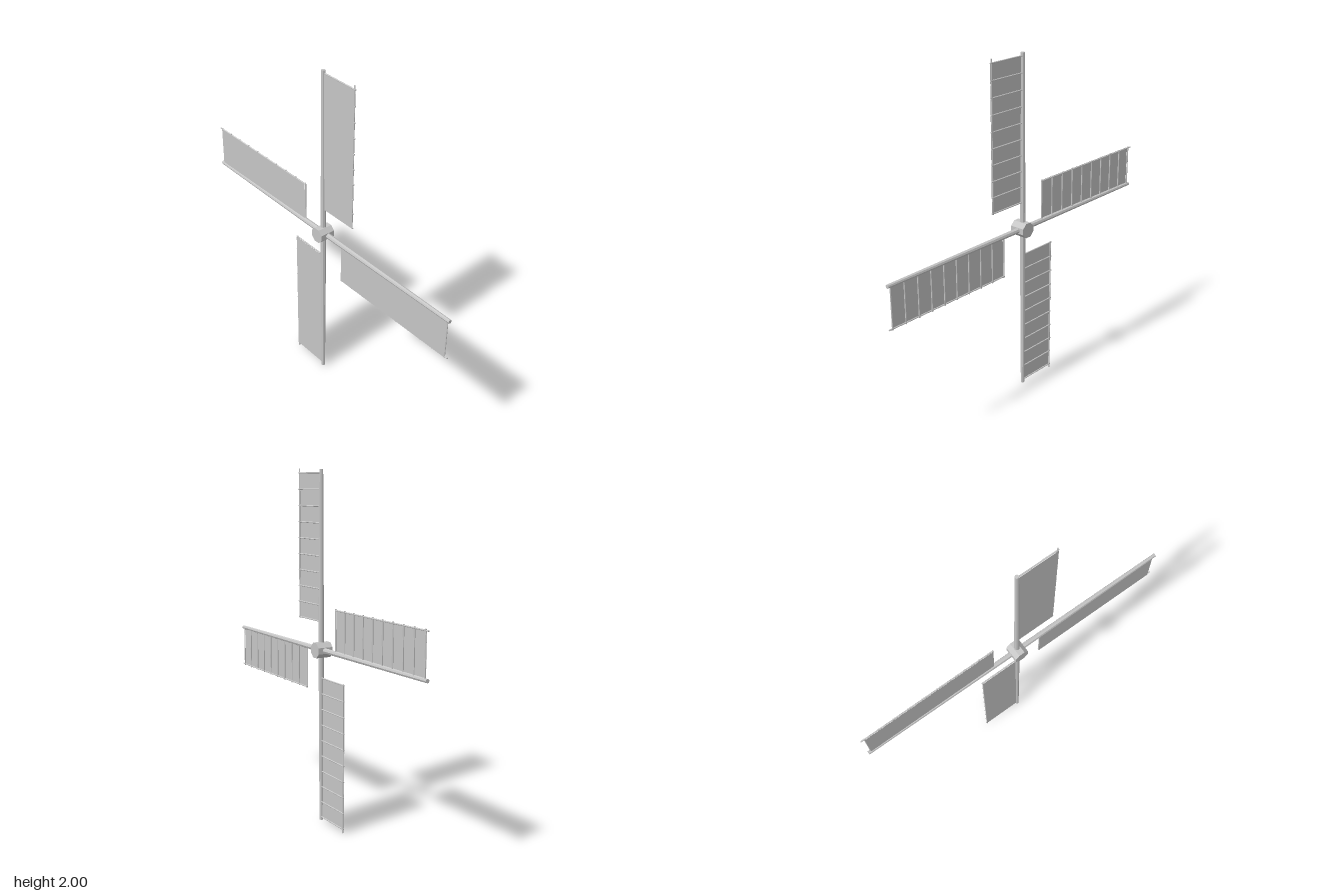
import * as THREE from 'three';

const grey = new THREE.MeshStandardMaterial({ color: 0xc6c6c6, flatShading: true });
grey.name = 'light grey';
const sailGrey = new THREE.MeshStandardMaterial({ color: 0xc6c6c6, side: THREE.DoubleSide });
sailGrey.name = 'sail grey';

function part(name, geometry, x, y, z, material = grey) {
  const mesh = new THREE.Mesh(geometry, material);
  mesh.name = name;
  mesh.position.set(x, y, z);
  return mesh;
}

// One blade pointing up, with its sail on the +x side
function createBlade() {
  const blade = new THREE.Group();
  blade.name = 'blade';
  const start = 0.16, end = 0.977, width = 0.243, rungs = 10;

  // Tapered main spar
  const sparLength = 0.995;
  blade.add(part('spar', new THREE.CylinderGeometry(0.011, 0.016, sparLength, 8), 0, sparLength / 2, -0.003));

  // Flat sail in front of the lattice
  blade.add(part('sail', new THREE.PlaneGeometry(width, end - start),
    width / 2, (start + end) / 2, 0.001, sailGrey));

  // Outer rail, running slightly past the sail at the tip
  const railLength = 1 - start + 0.005;
  blade.add(part('outerRail', new THREE.CylinderGeometry(0.004, 0.004, railLength, 8),
    width - 0.003, 1 - railLength / 2, -0.005));

  // Cross rungs
  const rungLength = width + 0.005;
  const rungGeometry = new THREE.CylinderGeometry(0.004, 0.004, rungLength, 8).rotateZ(Math.PI / 2);
  for (let i = 0; i < rungs; i++) {
    const y = start + (end - start) * i / (rungs - 1);
    blade.add(part('rung', rungGeometry, rungLength / 2, y, -0.005));
  }
  return blade;
}

export function createModel() {
  const model = new THREE.Group();
  model.name = 'windmillSails';

  // Eight-sided hub along the axle, flat sides facing the blades
  const hub = new THREE.CylinderGeometry(0.046, 0.046, 0.09, 8).rotateY(Math.PI / 8).rotateX(Math.PI / 2);
  model.add(part('hub', hub, 0, 1, 0));

  // Four blades around the hub
  for (let i = 0; i < 4; i++) {
    const blade = createBlade();
    blade.position.y = 1;
    blade.rotation.z = -i * Math.PI / 2;
    model.add(blade);
  }
  return model;
}
